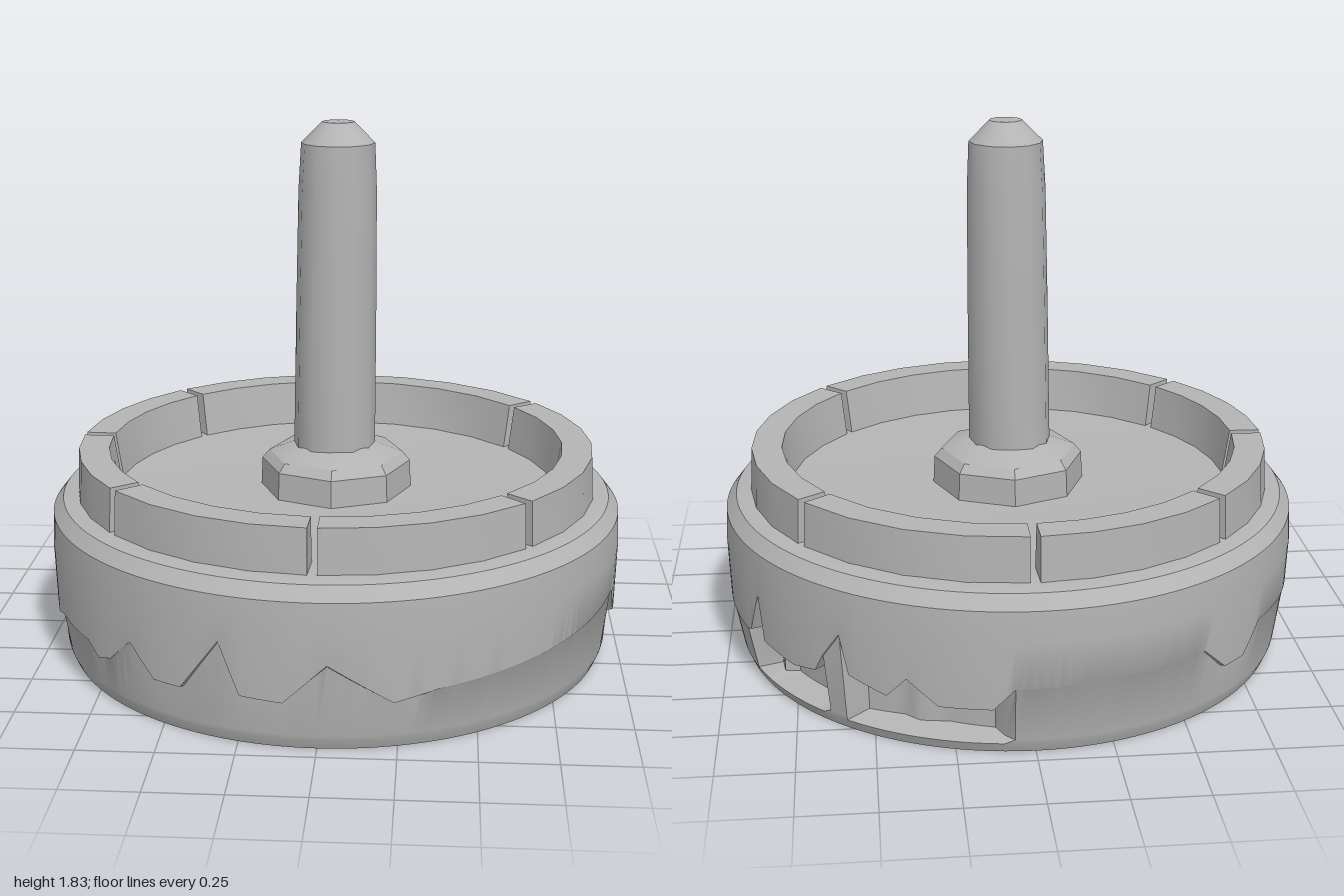
import * as THREE from 'three';
import { toCreasedNormals } from 'three/addons/utils/BufferGeometryUtils.js';

const RAD = Math.PI / 180;

// Chipped edge of the drum: [degrees from +x towards the back, edge height, chip depth]
const CHIPS = [
  [0, 0.2, 0], [23, 0.19, 0], [24, 0.2, 0.1], [28, 0.35, 0.08], [30, 0.2, 0.12], [40, 0.18, 0.12],
  [47, 0.2, 0.1], [48, 0.26, 0], [52, 0.35, 0], [54, 0.22, 0.1], [62, 0.18, 0.12], [66, 0.25, 0.1],
  [72, 0.17, 0.12], [82, 0.17, 0.1], [86, 0.24, 0], [124, 0.26, 0], [130, 0.17, 0.018],
  [136, 0.17, 0.018], [142, 0.26, 0], [166, 0.24, 0], [172, 0.17, 0.015], [178, 0.17, 0.015],
  [184, 0.26, 0], [198, 0.17, 0.02], [204, 0.2, 0], [218, 0.2, 0], [222, 0.16, 0.015], [226, 0.18, 0],
  [232, 0.27, 0], [238, 0.17, 0.02], [244, 0.17, 0.02], [252, 0.35, 0], [256, 0.18, 0.02],
  [264, 0.17, 0.02], [272, 0.3, 0], [284, 0.17, 0.01], [292, 0.2, 0], [346, 0.27, 0],
  [350, 0.17, 0.018], [356, 0.17, 0.018], [360, 0.2, 0],
];

function chipAt(deg) {
  const k = CHIPS.findIndex((c) => c[0] > deg);
  const a = CHIPS[k - 1], b = CHIPS[k];
  const t = (deg - a[0]) / (b[0] - a[0]);
  return [a[1] + (b[1] - a[1]) * t, a[2] + (b[2] - a[2]) * t];
}

// Drum: a ring of vertical profiles, each with its own chip
function drumGeometry() {
  const columns = 180, positions = [], index = [];
  let rows = 0;
  for (let i = 0; i < columns; i++) {
    const deg = i * 360 / columns, a = deg * RAD;
    const [edge, depth] = chipAt(deg);
    const profile = [
      [0, 0], [0.94, 0], [0.955, 0.035],
      [0.958 - Math.max(0, depth - 0.02), 0.05],
      [0.985 - depth, edge - 0.004], [0.988, edge],
      [0.995, 0.4], [0.99, 0.505], [0.955, 0.55], [0.9, 0.56], [0.75, 0.55], [0, 0.55],
    ];
    rows = profile.length;
    for (const [r, y] of profile) positions.push(r * Math.cos(a), y, -r * Math.sin(a));
  }
  for (let i = 0; i < columns; i++) {
    const c = i * rows, n = ((i + 1) % columns) * rows;
    for (let j = 0; j < rows - 1; j++) {
      if (j > 0) index.push(c + j, n + j, n + j + 1);
      if (j < rows - 2) index.push(c + j, n + j + 1, c + j + 1);
    }
  }
  const g = new THREE.BufferGeometry();
  g.setAttribute('position', new THREE.Float32BufferAttribute(positions, 3));
  g.setIndex(index);
  return toCreasedNormals(g, 0.6);
}

// One block of the raised ring, its inner wall leaning outwards
function ringBlock(from, to) {
  const steps = Math.max(4, Math.round((to - from) / 12));
  const outer = [], inner = [];
  for (let i = 0; i <= steps; i++) {
    const a = (from + (to - from) * i / steps) * RAD;
    outer.push(new THREE.Vector2(Math.cos(a) * 0.905, Math.sin(a) * 0.905));
    inner.unshift(new THREE.Vector2(Math.cos(a) * 0.765, Math.sin(a) * 0.765));
  }
  const g = new THREE.ExtrudeGeometry(new THREE.Shape([...outer, ...inner]), {
    depth: 0.18, bevelEnabled: false, steps: 1,
  });
  g.rotateX(-Math.PI / 2);
  const p = g.attributes.position;
  for (let i = 0; i < p.count; i++) {
    if (p.getY(i) < 0.1) continue;
    const s = Math.hypot(p.getX(i), p.getZ(i)) < 0.83 ? 1.035 : 0.99;
    p.setXYZ(i, p.getX(i) * s, p.getY(i), p.getZ(i) * s);
  }
  g.translate(0, 0.53, 0);
  return toCreasedNormals(g, 0.5);
}

function lathe(points, sides) {
  return new THREE.LatheGeometry(points.map(([r, y]) => new THREE.Vector2(r, y)), sides);
}

export function createModel() {
  const model = new THREE.Group();
  const stone = new THREE.MeshStandardMaterial({ color: 0xb4b4b4 });
  stone.name = 'grey stone';
  const add = (name, geometry, parent = model) => {
    const mesh = new THREE.Mesh(geometry, stone);
    mesh.name = name;
    parent.add(mesh);
    return mesh;
  };

  add('drum', drumGeometry());

  // Raised ring, split at the joints
  const ring = new THREE.Group();
  ring.name = 'blockRing';
  model.add(ring);
  const joints = [-43.5, 37, 90, 135, 178, 220, 269, 316.5];
  for (let i = 0; i < joints.length - 1; i++) {
    add('ringBlock', ringBlock(joints[i] + 1, joints[i + 1] - 1), ring);
  }

  // Eight-sided collar
  const collar = lathe([[0.265, 0.54], [0.26, 0.645], [0.235, 0.675], [0.13, 0.715], [0, 0.72]], 8);
  add('collar', toCreasedNormals(collar, 0.5));

  // Post with a blunt tip that leans slightly
  const post = lathe([[0.143, 0.6], [0.138, 1.2], [0.133, 1.6], [0.125, 1.76], [0.055, 1.83], [0, 1.832]], 12);
  const p = post.attributes.position;
  for (let i = 0; i < p.count; i++) {
    const lean = Math.max(0, p.getY(i) - 0.6) / 1.2;
    p.setX(i, p.getX(i) - 0.006 + 0.014 * lean);
    p.setZ(i, p.getZ(i) + 0.003 * lean);
  }
  add('post', toCreasedNormals(post, 0.65));

  return model;
}
